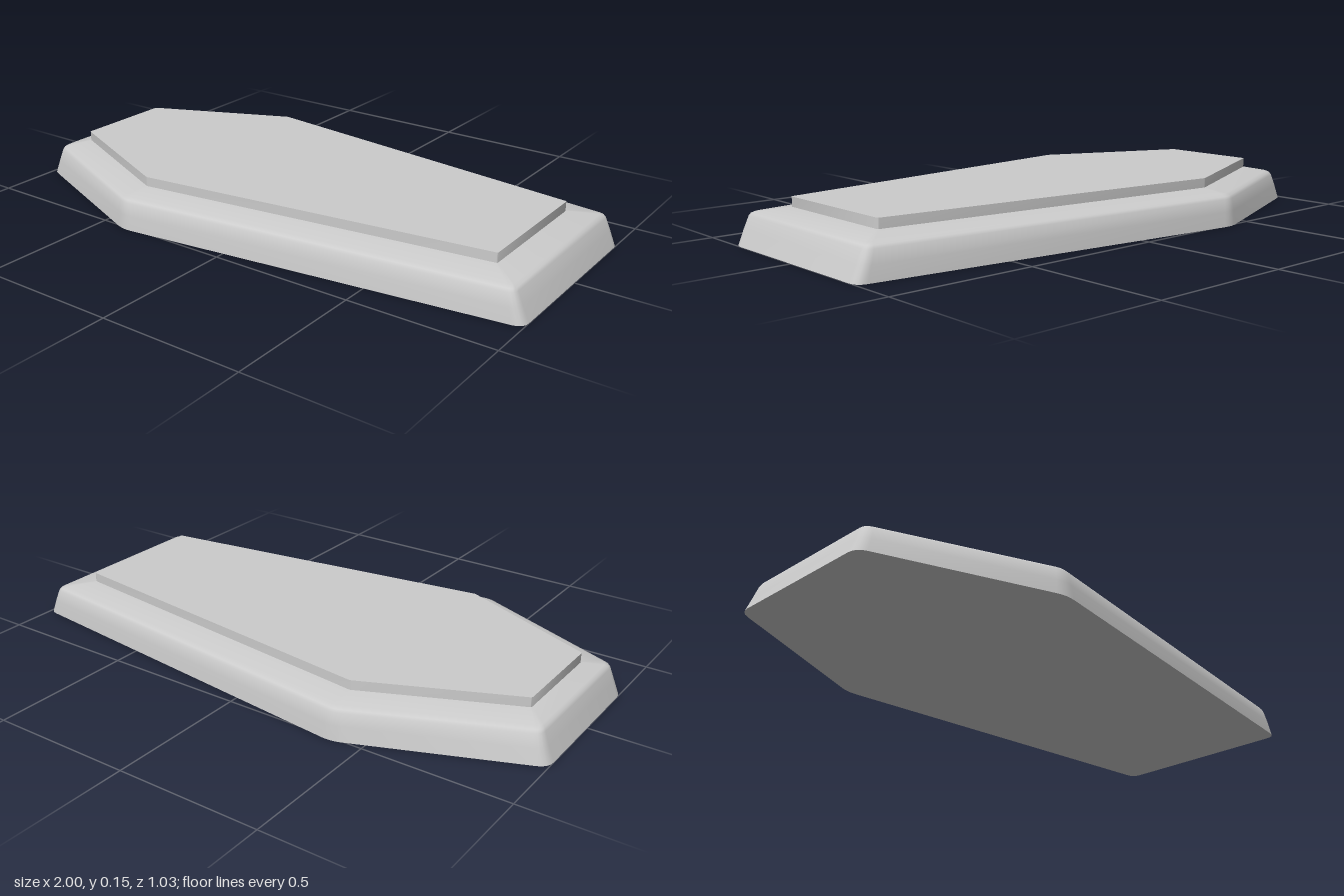
import * as THREE from 'three';
import { toCreasedNormals } from 'three/addons/utils/BufferGeometryUtils.js';

const ROUND = 5; // points per rounded corner

// six-sided outline, mirrored in z, with softened corners
function ring({ y, foot, shoulder, head, r }) {
  const half = [foot, shoulder, head];
  const corners = [...half, ...half.slice().reverse().map(([x, z]) => [x, -z])]
    .map(([x, z]) => new THREE.Vector3(x, y, z));
  return corners.flatMap((c, i) => {
    const toward = (o) => c.clone().add(o.clone().sub(c).setLength(r));
    const a = toward(corners[(i + 5) % 6]);
    const b = toward(corners[(i + 1) % 6]);
    return new THREE.QuadraticBezierCurve3(a, c, b).getPoints(ROUND - 1);
  });
}

// skin a stack of rings, with optional flat caps
function loft(levels, capBottom, capTop) {
  const rings = levels.map(ring);
  const n = rings[0].length;
  const pos = rings.flat().flatMap((p) => p.toArray());
  const index = [];
  for (let k = 0; k < rings.length - 1; k++) {
    for (let i = 0; i < n; i++) {
      const a = k * n + i, b = k * n + (i + 1) % n;
      index.push(a, b, b + n, a, b + n, a + n);
    }
  }
  const cap = (k, up) => {
    const centre = pos.length / 3;
    pos.push(0, levels[k].y, 0);
    for (let i = 0; i < n; i++) {
      const a = k * n + i, b = k * n + (i + 1) % n;
      index.push(centre, up ? a : b, up ? b : a);
    }
  };
  if (capBottom) cap(0, false);
  if (capTop) cap(rings.length - 1, true);
  const g = new THREE.BufferGeometry();
  g.setAttribute('position', new THREE.Float32BufferAttribute(pos, 3));
  g.setIndex(index);
  return toCreasedNormals(g, 0.75);
}

export function createModel() {
  const group = new THREE.Group();
  group.name = 'coffinLid';
  const material = new THREE.MeshStandardMaterial({ color: 0xcccccc });
  const add = (name, geometry) => {
    const mesh = new THREE.Mesh(geometry, material);
    mesh.name = name;
    group.add(mesh);
  };

  const ledge = { y: 0.12, foot: [-0.89, 0.18], shoulder: [-0.39, 0.4], head: [0.855, 0.24], r: 0.006 };

  // leaning sides, rounded rim and shallow sloping border
  add('rim', loft([
    { y: 0, foot: [-1, 0.275], shoulder: [-0.4, 0.518], head: [1, 0.347], r: 0.035 },
    { y: 0.05, foot: [-0.98, 0.27], shoulder: [-0.4, 0.512], head: [0.979, 0.344], r: 0.03 },
    { y: 0.092, foot: [-0.965, 0.262], shoulder: [-0.4, 0.505], head: [0.961, 0.338], r: 0.025 },
    { y: 0.101, foot: [-0.96, 0.256], shoulder: [-0.4, 0.498], head: [0.955, 0.332], r: 0.022 },
    { y: 0.107, foot: [-0.95, 0.245], shoulder: [-0.4, 0.482], head: [0.943, 0.318], r: 0.018 },
    ledge,
  ], true, false));

  // raised flat panel with an upright step
  add('raisedPanel', loft([ledge, { ...ledge, y: 0.153 }], false, true));
  return group;
}
